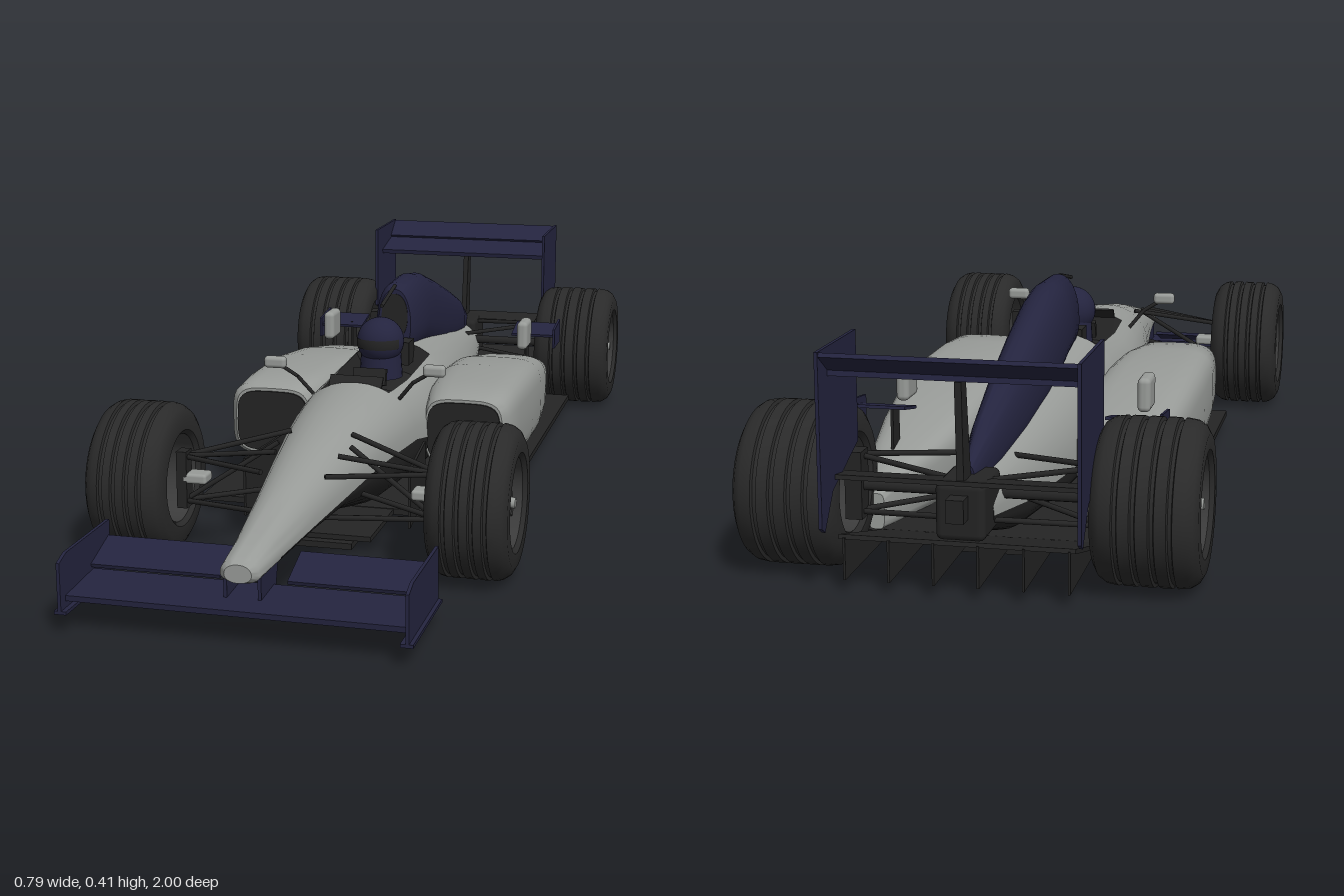
import * as THREE from 'three';
import { toCreasedNormals } from 'three/addons/utils/BufferGeometryUtils.js';
import { RoundedBoxGeometry } from 'three/addons/geometries/RoundedBoxGeometry.js';

const mat = (name, color, side = THREE.FrontSide) => new THREE.MeshStandardMaterial({ name, color, side });

export function createModel() {
  const car = new THREE.Group();
  car.name = 'racingCar';
  const silver = mat('silverPaint', 0x989b98);
  const navy = mat('navyPaint', 0x24243f);
  const carbon = mat('carbon', 0x242424, THREE.DoubleSide);
  const rubber = mat('rubber', 0x2a2a2a);
  const rimGrey = mat('rimGrey', 0x3b3b3b, THREE.DoubleSide);

  const add = (name, geo, m, x = 0, y = 0, z = 0, parent = car) => {
    const mesh = new THREE.Mesh(geo, m);
    mesh.name = name;
    mesh.position.set(x, y, z);
    parent.add(mesh);
    return mesh;
  };
  const box = (name, m, w, h, d, x, y, z, rx = 0) => {
    const mesh = add(name, new THREE.BoxGeometry(w, h, d), m, x, y, z);
    mesh.rotation.x = rx;
    return mesh;
  };
  const rod = (name, a, b, r = 0.005, m = carbon) => {
    const p = new THREE.Vector3(...a), q = new THREE.Vector3(...b);
    const mesh = add(name, new THREE.CylinderGeometry(r, r, p.distanceTo(q), 8), m);
    mesh.position.copy(p).lerp(q, 0.5);
    mesh.quaternion.setFromUnitVectors(new THREE.Vector3(0, 1, 0), q.sub(p).normalize());
  };
  // upright plate: outline points are [z, y]
  const sidePlate = (name, m, pts, x, t = 0.006) => {
    const shape = new THREE.Shape(pts.map(([z, y]) => new THREE.Vector2(-z, y)));
    const geo = new THREE.ExtrudeGeometry(shape, { depth: t, bevelEnabled: false });
    geo.translate(0, 0, -t / 2).rotateY(Math.PI / 2);
    add(name, geo, m, x);
  };
  // superellipse cross-section, counter-clockwise seen from the front
  const N = 32;
  const ring = (z, cx, w, top, mid, bottom, n) => Array.from({ length: N }, (_, j) => {
    const t = j / N * Math.PI * 2, c = Math.cos(t), s = Math.sin(t);
    const pw = v => Math.sign(v) * Math.pow(Math.abs(v), 2 / n);
    return [cx + w * pw(c), mid + (s > 0 ? top - mid : mid - bottom) * pw(s), z];
  });
  // skin over rings running front to back; pick(i, j) chooses the faces, caps close the ends
  const loft = (rings, pick = () => true, front = false, back = false) => {
    const pos = rings.flat(2), idx = [];
    for (let i = 0; i < rings.length - 1; i++) for (let j = 0; j < N; j++) {
      if (!pick(i, j)) continue;
      const k = (j + 1) % N, a = i * N + j, b = i * N + k, d = a + N, c = b + N;
      idx.push(a, d, b, d, c, b);
    }
    const cap = (i, flip) => {
      const centre = pos.length / 3;
      pos.push(...[0, 1, 2].map(q => rings[i].reduce((s, p) => s + p[q], 0) / N));
      for (let j = 0; j < N; j++) {
        const a = i * N + j, b = i * N + (j + 1) % N;
        idx.push(centre, flip ? b : a, flip ? a : b);
      }
    };
    if (front) cap(0, false);
    if (back) cap(rings.length - 1, true);
    const geo = new THREE.BufferGeometry();
    geo.setAttribute('position', new THREE.Float32BufferAttribute(pos, 3));
    geo.setIndex(idx);
    return toCreasedNormals(geo, 0.7);
  };

  // nose and tub: z, half width, top, waist, bottom
  const hull = [
    [0.952, 0.024, 0.132, 0.115, 0.1], [0.94, 0.035, 0.14, 0.112, 0.096], [0.85, 0.043, 0.156, 0.115, 0.1],
    [0.7, 0.06, 0.19, 0.125, 0.106], [0.55, 0.08, 0.222, 0.137, 0.1], [0.4, 0.1, 0.247, 0.15, 0.06],
    [0.3, 0.113, 0.258, 0.152, 0.036], [0.21, 0.122, 0.266, 0.15, 0.03], [0.19, 0.124, 0.266, 0.15, 0.03],
    [0.08, 0.135, 0.268, 0.13, 0.03], [-0.1, 0.137, 0.28, 0.12, 0.03], [-0.12, 0.137, 0.282, 0.12, 0.03],
    [-0.3, 0.125, 0.265, 0.11, 0.03], [-0.5, 0.102, 0.235, 0.1, 0.03], [-0.7, 0.07, 0.2, 0.1, 0.04],
    [-0.87, 0.044, 0.172, 0.12, 0.09]];
  const hullRings = hull.map(([z, w, t, m, b]) => ring(z, 0, w, t, m, b, 2.15));
  // sink the cockpit floor
  hullRings.forEach((r, i) => { if (i >= 8 && i <= 10) for (let j = 6; j <= 10; j++) r[j][1] -= 0.06; });
  const inCockpit = (i, j) => i >= 7 && i <= 10 && j >= 5 && j <= 10;
  add('bodywork', loft(hullRings, (i, j) => (j < 16 || i < 2) && !inCockpit(i, j), true), silver);
  add('lowerTub', loft(hullRings, (i, j) => j >= 16 && i >= 2, false, true), carbon);
  add('cockpit', loft(hullRings, inCockpit), carbon);
  box('windscreen', carbon, 0.11, 0.025, 0.005, 0, 0.265, 0.2, -0.7);
  box('steeringWheel', carbon, 0.07, 0.035, 0.012, 0, 0.25, 0.09, -0.3);
  box('headrest', carbon, 0.09, 0.05, 0.05, 0, 0.265, -0.095);

  // driver helmet with visor band
  add('helmet', new THREE.SphereGeometry(0.05, 32, 20), navy, 0, 0.308, 0);
  add('helmetNeck', new THREE.CylinderGeometry(0.042, 0.046, 0.06, 24), navy, 0, 0.26, -0.005);
  add('visor', new THREE.SphereGeometry(0.0515, 24, 6, Math.PI * 0.15, Math.PI * 0.7, 1.4, 0.4), carbon, 0, 0.308, 0);

  // engine cover: z, half width, top, bottom
  const cover = [[-0.125, 0.036, 0.395, 0.26], [-0.14, 0.044, 0.408, 0.25], [-0.25, 0.051, 0.409, 0.24],
    [-0.32, 0.051, 0.398, 0.22], [-0.45, 0.048, 0.36, 0.19], [-0.6, 0.041, 0.312, 0.17], [-0.75, 0.029, 0.26, 0.16],
    [-0.87, 0.012, 0.205, 0.15]];
  const coverRings = cover.map(([z, w, t, b]) => ring(z, 0, w, t, b + (t - b) * 0.4, b, 2.2));
  add('engineCover', loft(coverRings, undefined, true, true), navy);
  const intake = ring(-0.123, 0, 0.029, 0.385, 0.335, 0.285, 2.2);
  add('airIntake', loft([intake, intake.map(([x, y, z]) => [x, y, z - 0.004])], undefined, true), carbon);
  rod('cameraMast', [0, 0.38, -0.01], [0, 0.403, -0.125], 0.004);

  // floor, plank and diffuser
  box('floor', carbon, 0.6, 0.012, 1.01, 0, 0.026, -0.215);
  box('plank', carbon, 0.13, 0.012, 1.21, 0, 0.012, -0.125);
  box('frontSplitter', carbon, 0.2, 0.01, 0.2, 0, 0.026, 0.37);
  box('diffuser', carbon, 0.4, 0.008, 0.25, 0, 0.062, -0.835, 0.27);
  for (let i = 0; i < 6; i++)
    sidePlate('diffuserFin', carbon, [[-0.7, 0.025], [-0.96, 0.022], [-0.96, 0.095], [-0.72, 0.035]], -0.19 + i * 0.076, 0.004);
  add('gearbox', new RoundedBoxGeometry(0.085, 0.1, 0.12, 2, 0.012), carbon, 0, 0.14, -0.87);
  box('rearLight', carbon, 0.03, 0.04, 0.04, 0, 0.15, -0.94);

  // front wing
  box('frontWingMain', navy, 0.6, 0.01, 0.12, 0, 0.061, 0.92, 0.06);
  sidePlate('rearWingPylon', carbon, [[-0.87, 0.16], [-0.92, 0.16], [-0.93, 0.36], [-0.9, 0.36]], 0, 0.012);

  // rear wing
  box('rearWingMain', navy, 0.43, 0.01, 0.1, 0, 0.362, -0.905, 0.2);
  box('rearWingFlap', navy, 0.43, 0.008, 0.058, 0, 0.394, -0.972, 0.6);
  box('beamWing', carbon, 0.43, 0.008, 0.06, 0, 0.185, -0.9, 0.15);

  // grooved tyre with spoked rim
  const wheel = (side, x, z, width) => {
    const g = new THREE.Group();
    g.name = z > 0 ? 'frontWheel' : 'rearWheel';
    g.position.set(side * x, 0.143, z);
    car.add(g);
    const h = width / 2, R = 0.143;
    const pts = [[0.084, -h + 0.008], [0.092, -h], [0.118, -h], [0.132, -h + 0.008], [0.14, -h + 0.02]];
    for (const f of [-0.5, -0.17, 0.17, 0.5]) {
      const y = f * h;
      pts.push([R, y - 0.005], [R - 0.006, y - 0.003], [R - 0.006, y + 0.003], [R, y + 0.005]);
    }
    pts.push([0.14, h - 0.02], [0.132, h - 0.008], [0.118, h], [0.092, h], [0.084, h - 0.008], [0.084, -h + 0.008]);
    const tyre = toCreasedNormals(new THREE.LatheGeometry(pts.map(p => new THREE.Vector2(...p)), 48), 0.6);
    add('tyre', tyre.rotateZ(-Math.PI / 2), rubber, 0, 0, 0, g);
    const disc = (name, r, t, m, px, open = false) =>
      add(name, new THREE.CylinderGeometry(r, r, t, 32, 1, open).rotateZ(-Math.PI / 2), m, side * px, 0, 0, g);
    disc('rimBarrel', 0.0835, width - 0.016, rimGrey, 0, true);
    disc('brakeDisc', 0.078, 0.02, carbon, h - 0.07);
    disc('hub', 0.022, 0.05, rimGrey, h - 0.04);
    disc('wheelNut', 0.01, 0.012, silver, h - 0.012);
    for (let i = 0; i < 6; i++) {
      const a = i * Math.PI / 3;
      const spoke = add('spoke', new THREE.BoxGeometry(0.012, 0.07, 0.014), rimGrey, side * (h - 0.03), Math.cos(a) * 0.05, Math.sin(a) * 0.05, g);
      spoke.rotation.x = a;
    }
  };

  // sidepod: z, inner x, outer x, top, bottom
  const pod = [[0.115, 0.125, 0.285, 0.218, 0.078], [0.1, 0.12, 0.297, 0.226, 0.07], [0, 0.1, 0.303, 0.232, 0.058],
    [-0.15, 0.09, 0.305, 0.232, 0.045], [-0.3, 0.085, 0.298, 0.217, 0.034], [-0.45, 0.1, 0.284, 0.19, 0.034],
    [-0.58, 0.135, 0.266, 0.155, 0.034], [-0.68, 0.175, 0.24, 0.125, 0.034], [-0.72, 0.195, 0.225, 0.1, 0.034]];

  for (const s of [-1, 1]) {
    const rings = pod.map(([z, xi, xo, t, b]) => ring(z, s * (xi + xo) / 2, (xo - xi) / 2, t, (t + b) / 2, b, 4));
    add('sidepod', loft(rings, undefined, true, true), silver);
    const mouth = ring(0.12, s * 0.205, 0.076, 0.212, 0.148, 0.084, 4);
    add('sidepodInlet', loft([mouth, mouth.map(([x, y, z]) => [x, y, z - 0.008])], undefined, true), carbon);
    add('chimney', new RoundedBoxGeometry(0.025, 0.065, 0.07, 3, 0.01), silver, s * 0.232, 0.243, -0.445);
    box('winglet', navy, 0.1, 0.006, 0.075, s * 0.235, 0.225, -0.58, 0.2);
    sidePlate('wingletEndplate', navy, [[-0.535, 0.19], [-0.62, 0.19], [-0.62, 0.245], [-0.535, 0.235]], s * 0.287, 0.005);
    box('wingletStay', carbon, 0.005, 0.09, 0.04, s * 0.215, 0.18, -0.58);

    // mirror
    add('mirror', new RoundedBoxGeometry(0.046, 0.024, 0.02, 3, 0.008), silver, s * 0.165, 0.3, 0.215);
    rod('mirrorStalk', [s * 0.09, 0.235, 0.2], [s * 0.12, 0.272, 0.21], 0.004);
    rod('mirrorStalk', [s * 0.12, 0.272, 0.21], [s * 0.155, 0.294, 0.213], 0.004);

    // turning vane beside the tub
    const vane = box('turningVane', carbon, 0.005, 0.115, 0.21, s * 0.155, 0.097, 0.32);
    vane.rotation.y = s * 0.09;

    // front wing flap, pylon and endplate
    box('frontWingFlap', navy, 0.24, 0.007, 0.085, s * 0.18, 0.091, 0.83, 0.32);
    sidePlate('frontWingPylon', navy, [[0.93, 0.06], [0.93, 0.115], [0.83, 0.125], [0.85, 0.06]], s * 0.03);
    sidePlate('frontWingEndplate', navy, [[1, 0.04], [1, 0.125], [0.97, 0.135], [0.785, 0.135], [0.785, 0.04]], s * 0.298);
    box('endplateFoot', navy, 0.022, 0.006, 0.215, s * 0.297, 0.038, 0.8925);
    sidePlate('rearWingEndplate', navy,
      [[-0.805, 0.415], [-1, 0.415], [-1, 0.12], [-0.985, 0.11], [-0.94, 0.17], [-0.805, 0.22]], s * 0.215);

    // front suspension
    wheel(s, 0.32, 0.54, 0.15);
    add('frontUpright', new RoundedBoxGeometry(0.05, 0.02, 0.04, 2, 0.006), silver, s * 0.222, 0.146, 0.535);
    box('frontHubCarrier', carbon, 0.02, 0.11, 0.03, s * 0.245, 0.143, 0.54);
    for (const z of [0.45, 0.55, 0.64]) rod('frontUpperArm', [s * 0.06, 0.225 - (z - 0.45) * 0.15, z], [s * 0.25, 0.185, 0.535]);
    for (const z of [0.45, 0.64]) rod('frontLowerArm', [s * 0.04, 0.12, z], [s * 0.25, 0.1, 0.54]);
    rod('frontPushrod', [s * 0.07, 0.215, 0.5], [s * 0.245, 0.1, 0.54]);

    // rear suspension
    wheel(s, 0.305, -0.81, 0.18);
    box('rearUpright', carbon, 0.03, 0.12, 0.04, s * 0.215, 0.145, -0.81);
    for (const z of [-0.7, -0.86]) {
      rod('rearUpperArm', [s * 0.04, 0.18, z], [s * 0.22, 0.195, -0.8]);
      rod('rearLowerArm', [s * 0.04, 0.11, z], [s * 0.22, 0.095, -0.81]);
    }
    rod('driveShaft', [s * 0.03, 0.143, -0.81], [s * 0.23, 0.143, -0.81], 0.01);
  }
  return car;
}
